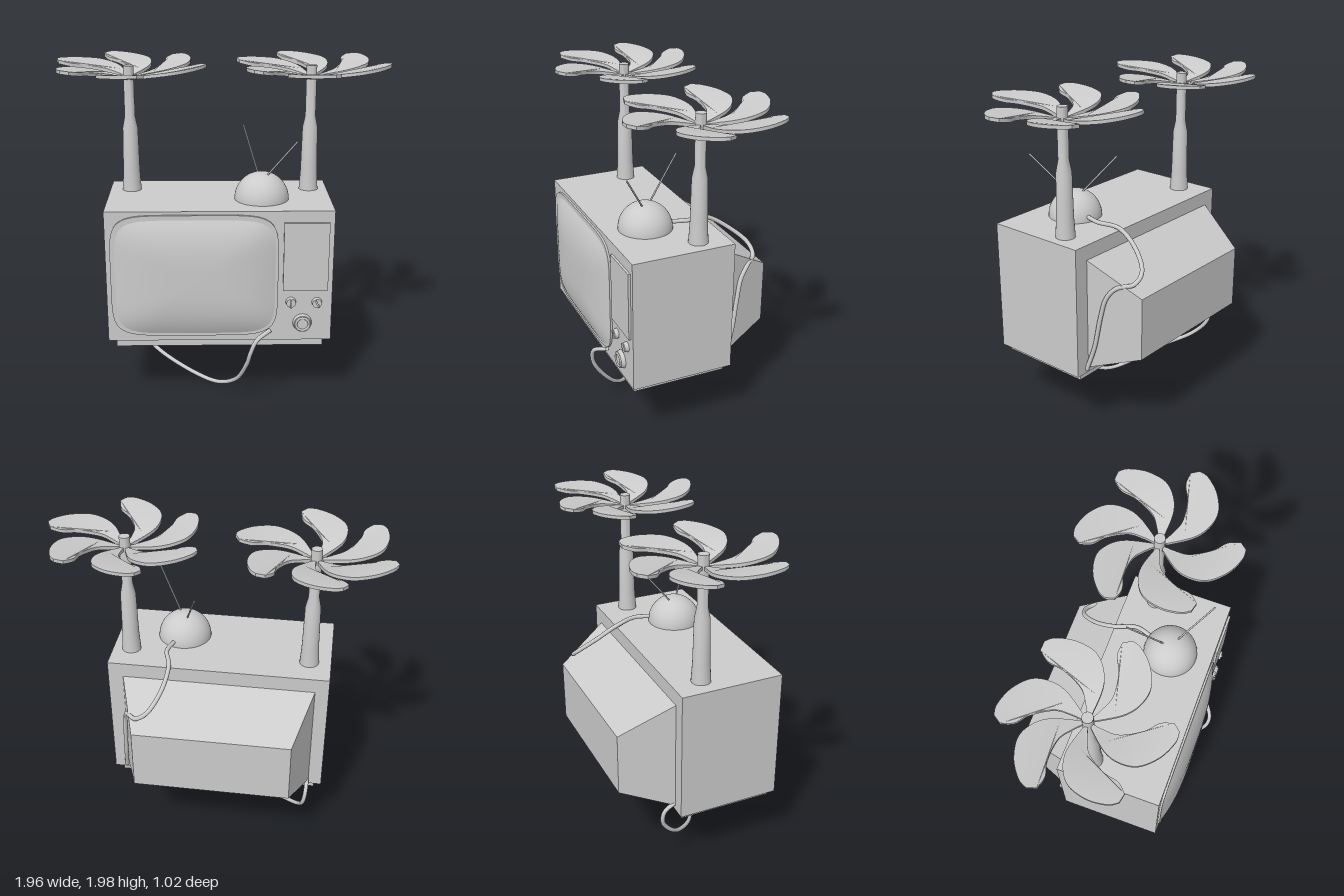
import * as THREE from 'three';
import { toCreasedNormals } from 'three/addons/utils/BufferGeometryUtils.js';

const material = new THREE.MeshStandardMaterial({ color: 0xcccccc, side: THREE.DoubleSide });

function add(parent, name, geometry, x = 0, y = 0, z = 0) {
  const mesh = new THREE.Mesh(geometry, material);
  mesh.name = name;
  mesh.position.set(x, y, z);
  parent.add(mesh);
  return mesh;
}

// Box given by its limits
function block(parent, name, [x0, x1], [y0, y1], [z0, z1]) {
  return add(parent, name, new THREE.BoxGeometry(x1 - x0, y1 - y0, z1 - z0),
    (x0 + x1) / 2, (y0 + y1) / 2, (z0 + z1) / 2);
}

// Move every vertex by a rule
function reshape(geometry, rule) {
  const p = geometry.attributes.position;
  const v = new THREE.Vector3();
  for (let i = 0; i < p.count; i++) {
    rule(v.fromBufferAttribute(p, i));
    p.setXYZ(i, v.x, v.y, v.z);
  }
  geometry.computeVertexNormals();
  return geometry;
}

function rod(parent, name, a, b, radius) {
  const from = new THREE.Vector3(...a), to = new THREE.Vector3(...b);
  const dir = to.clone().sub(from);
  const mesh = add(parent, name, new THREE.CylinderGeometry(radius, radius, dir.length(), 10));
  mesh.position.copy(from).add(to).multiplyScalar(0.5);
  mesh.quaternion.setFromUnitVectors(new THREE.Vector3(0, 1, 0), dir.normalize());
}

function cable(parent, name, points) {
  const curve = new THREE.CatmullRomCurve3(points.map((p) => new THREE.Vector3(...p)));
  add(parent, name, new THREE.TubeGeometry(curve, 90, 0.013, 10));
}

// Barrel-shaped outline, almost a rectangle with round corners
const squareness = (a) => Math.pow(Math.abs(Math.cos(a)) ** 6 + Math.abs(Math.sin(a)) ** 6, -1 / 6);

function screen(parent) {
  const outline = [];
  for (let i = 0; i < 96; i++) {
    const a = (i / 96) * Math.PI * 2, s = squareness(a);
    outline.push(new THREE.Vector2(Math.cos(a) * s * 0.483, Math.sin(a) * s * 0.372));
  }
  const rim = new THREE.ExtrudeGeometry(new THREE.Shape(outline), { depth: 0.012, bevelEnabled: false });
  add(parent, 'screenFrame', toCreasedNormals(rim, 0.6), -0.16, 0.828, 0.42);

  const glass = reshape(new THREE.RingGeometry(0, 1, 96, 14), (v) => {
    const r = Math.hypot(v.x, v.y), s = squareness(Math.atan2(v.y, v.x));
    v.set(v.x * s * 0.472, v.y * s * 0.358, 0.06 * (1 - r ** 3.2));
  });
  add(parent, 'screen', toCreasedNormals(glass, 0.8), -0.155, 0.822, 0.428);
}

function knob(parent, name, x, y, r) {
  const group = new THREE.Group();
  group.name = name;
  group.position.set(x, y, 0.42);
  parent.add(group);
  add(group, 'knobDisc', new THREE.CylinderGeometry(r * 0.9, r, 0.024, 32).rotateX(Math.PI / 2), 0, 0, 0.012);
  return group;
}

function leafGeometry() {
  const shape = new THREE.Shape();
  const pts = (list) => list.map((p) => new THREE.Vector2(...p));
  // Inner edge, blunt tip, then outer edge back to the trunk
  shape.moveTo(0.02, -0.01);
  shape.splineThru(pts([[0.08, -0.045], [0.16, -0.075], [0.28, -0.06], [0.36, -0.022], [0.43, -0.025]]));
  shape.lineTo(0.455, -0.07);
  shape.splineThru(pts([[0.435, -0.125], [0.36, -0.2], [0.255, -0.243], [0.16, -0.222], [0.085, -0.16], [0.015, -0.035]]));
  const geometry = new THREE.ExtrudeGeometry(shape, { depth: 0.02, bevelEnabled: false, curveSegments: 24 });
  geometry.rotateX(-Math.PI / 2);
  return toCreasedNormals(reshape(geometry, (v) => { v.y += 0.19 * Math.hypot(v.x, v.z); }), 0.6);
}

function palm(parent, name, x, leaf) {
  const group = new THREE.Group();
  group.name = name;
  group.position.set(x, 0, -0.025);
  parent.add(group);
  const profile = [[0, 1.22], [0.057, 1.22], [0.05, 1.34], [0.045, 1.6], [0.031, 1.67], [0.031, 1.97], [0, 1.97]];
  const trunk = new THREE.LatheGeometry(profile.map((p) => new THREE.Vector2(...p)), 24);
  add(group, 'trunk', toCreasedNormals(trunk, 0.7));
  for (const turn of [0, 58, 118, 170, 229, 289]) {
    add(group, 'leaf', leaf, 0, 1.883, 0).rotation.y = THREE.MathUtils.degToRad(turn);
  }
}

export function createModel() {
  const model = new THREE.Group();
  model.name = 'televisionWithPalms';

  // Cabinet and foot
  block(model, 'cabinet', [-0.67, 0.64], [0.42, 1.22], [-0.2, 0.42]);
  block(model, 'foot', [-0.625, 0.595], [0.375, 0.42], [-0.175, 0.4]);

  // Tapered rear housing
  const housing = reshape(new THREE.BoxGeometry(1, 1, 1), (v) => {
    const rear = v.z < 0;
    const [low, high] = rear ? [0.565, 0.945] : [0.45, 1.13];
    v.set(v.x * (rear ? 0.93 : 1.14) - 0.02, v.y < 0 ? low : high, rear ? -0.51 : -0.2);
  });
  add(model, 'rearHousing', housing);

  // Front: screen, speaker panel, knobs
  screen(model);
  block(model, 'speakerPanel', [0.352, 0.612], [0.738, 1.152], [0.42, 0.434]);
  for (const [x, y, tilt] of [[0.4, 0.663, 0], [0.552, 0.66, 0.5]]) {
    const small = knob(model, 'smallKnob', x, y, 0.03);
    add(small, 'knobGrip', new THREE.BoxGeometry(0.01, 0.054, 0.012), 0, 0, 0.026).rotation.z = tilt;
  }
  const dial = knob(model, 'largeKnob', 0.47, 0.53, 0.056);
  add(dial, 'dialRing', new THREE.TorusGeometry(0.038, 0.007, 10, 36), 0, 0, 0.024);

  // Dome aerial
  add(model, 'dome', new THREE.SphereGeometry(0.16, 40, 16, 0, Math.PI * 2, 0, Math.PI / 2), 0.235, 1.22, 0.17);
  rod(model, 'aerialRod', [0.215, 1.36, 0.135], [0.135, 1.605, -0.07], 0.005);
  rod(model, 'aerialRod', [0.26, 1.36, 0.195], [0.42, 1.605, 0.355], 0.005);

  // Palms
  const leaf = leafGeometry();
  palm(model, 'rightPalm', -0.54, leaf);
  palm(model, 'leftPalm', 0.53, leaf);

  // Cables
  cable(model, 'frontCable', [
    [0.28, 0.49, 0.44], [0.2, 0.45, 0.495], [0.165, 0.37, 0.495], [0.145, 0.28, 0.46], [0.075, 0.1, 0.32],
    [-0.06, 0.02, 0.18], [-0.39, 0.125, -0.02], [-0.535, 0.22, -0.18], [-0.57, 0.335, -0.27],
    [-0.58, 0.42, -0.26], [-0.58, 0.465, -0.19],
  ]);
  cable(model, 'aerialCable', [
    [0.28, 1.25, 0.03], [0.305, 1.25, -0.07], [0.27, 1.235, -0.2], [0.29, 1.155, -0.335], [0.36, 1.06, -0.44],
    [0.43, 1.01, -0.44], [0.495, 0.99, -0.37], [0.52, 0.92, -0.315], [0.535, 0.8, -0.285],
    [0.55, 0.6, -0.25], [0.565, 0.44, -0.2],
  ]);
  return model;
}
